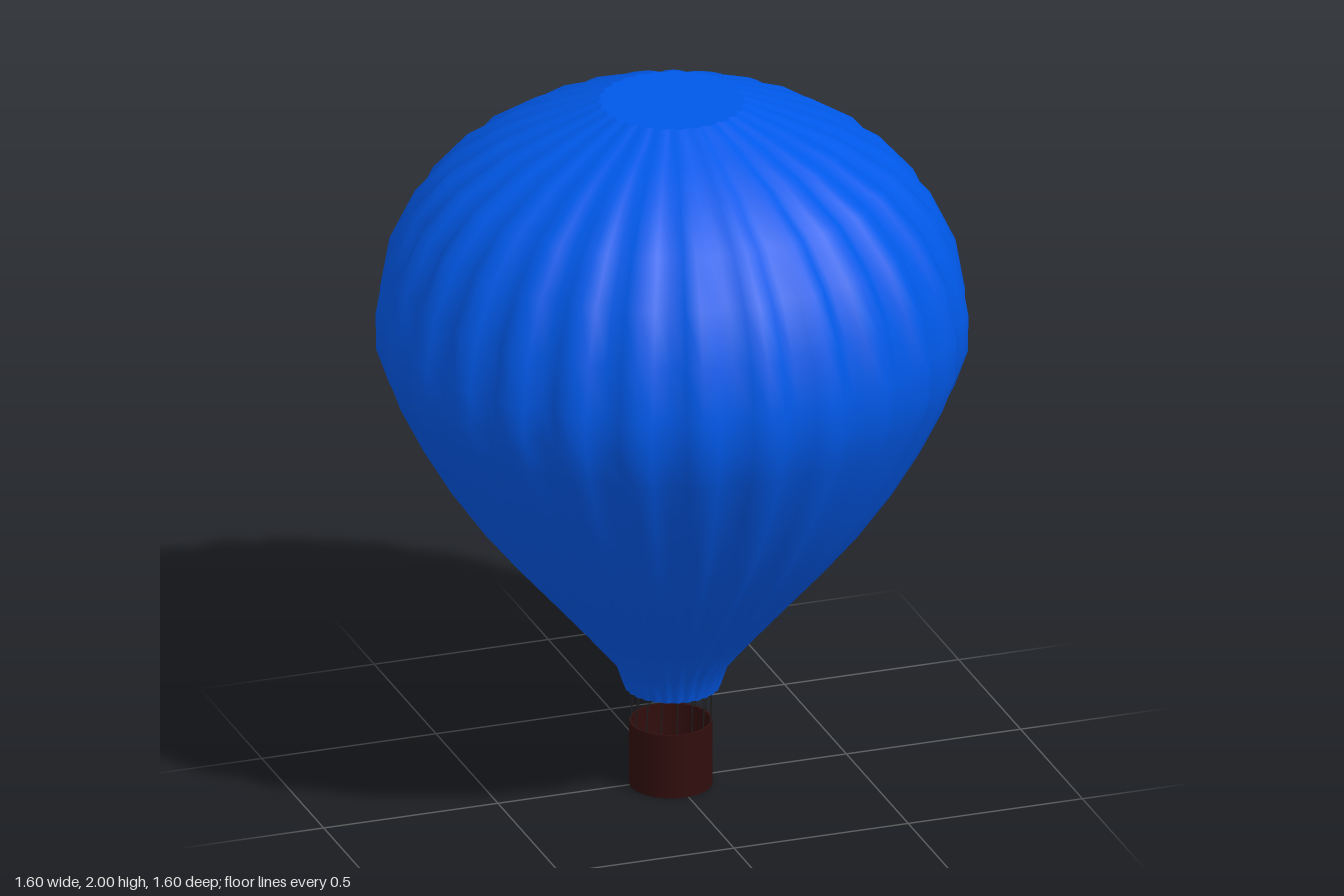
import * as THREE from 'three';
import { mergeVertices } from 'three/addons/utils/BufferGeometryUtils.js';

const GORES = 27;
const PHASE = THREE.MathUtils.degToRad(3.2);
const BASKET = new THREE.Vector3(-0.011, 0, 0.02);
const BASKET_R = 0.113;
const BASKET_H = 0.185;

const v2 = ([x, y]) => new THREE.Vector2(x, y);

// Lathe whose radius bulges between the seams of the gores
function goredLathe(points) {
  const geo = new THREE.LatheGeometry(points, GORES * 4);
  const pos = geo.attributes.position;
  for (let i = 0; i < pos.count; i++) {
    const x = pos.getX(i), z = pos.getZ(i);
    const t = (Math.atan2(-z, x) - PHASE) * GORES / 2;
    const k = 1 - 0.048 * (1 - Math.abs(Math.cos(t)));
    pos.setX(i, x * k);
    pos.setZ(i, z * k);
  }
  geo.deleteAttribute('uv');
  geo.deleteAttribute('normal');
  const welded = mergeVertices(geo, 1e-5);
  welded.computeVertexNormals();
  return welded;
}

export function createModel() {
  const group = new THREE.Group();
  const fabric = new THREE.MeshStandardMaterial({ color: 0x0058e8, side: THREE.DoubleSide });
  const wicker = new THREE.MeshStandardMaterial({ color: 0x300d0d, side: THREE.DoubleSide });
  const cord = new THREE.MeshStandardMaterial({ color: 0x1c1c1c });

  const add = (name, geo, mat, parent = group) => {
    const mesh = new THREE.Mesh(geo, mat);
    mesh.name = name;
    parent.add(mesh);
    return mesh;
  };

  // Envelope from the mouth up to the edge of the crown
  const profile = [
    [0.13, 0.277], [0.155, 0.35], [0.24, 0.45], [0.328, 0.55], [0.43, 0.665], [0.525, 0.78],
    [0.62, 0.915], [0.7, 1.05], [0.765, 1.18], [0.802, 1.285], [0.803, 1.39], [0.777, 1.535],
    [0.707, 1.68], [0.605, 1.795], [0.46, 1.89], [0.33, 1.948], [0.2, 2],
  ].map(v2);
  add('envelope', goredLathe(profile), fabric);

  // Flat discs closing the envelope at both ends
  add('crown', goredLathe([[0.2, 2], [0, 2]].map(v2)), fabric);
  add('mouth', goredLathe([[0, 0.277], [0.13, 0.277]].map(v2)), fabric);

  // Hollow basket with a floor and a thin rim
  const r = BASKET_R, inner = r - 0.006;
  const basket = new THREE.Group();
  basket.name = 'basket';
  basket.position.copy(BASKET);
  group.add(basket);
  const band = (name, pts) => add(name, new THREE.LatheGeometry(pts.map(v2), 40), wicker, basket);
  band('basketFloor', [[0, 0], [r, 0]]);
  band('basketWall', [[r, 0], [r, BASKET_H]]);
  band('basketRim', [[r, BASKET_H], [inner, BASKET_H]]);
  band('basketLining', [[inner, BASKET_H], [inner, 0.008]]);
  band('basketInnerFloor', [[inner, 0.008], [0, 0.008]]);

  // Ropes from the basket rim to the envelope mouth
  const ropes = new THREE.Group();
  ropes.name = 'ropes';
  group.add(ropes);
  const count = 16;
  for (let i = 0; i < count; i++) {
    const a = ((i + 0.5) / count) * Math.PI * 2;
    const dir = new THREE.Vector3(Math.cos(a), 0, Math.sin(a));
    const low = dir.clone().multiplyScalar(r - 0.003).add(BASKET).setY(BASKET_H - 0.015);
    const high = dir.clone().multiplyScalar(0.108).setY(0.279);
    const path = new THREE.LineCurve3(low, high);
    add('rope', new THREE.TubeGeometry(path, 1, 0.0018, 6), cord, ropes);
  }

  return group;
}
